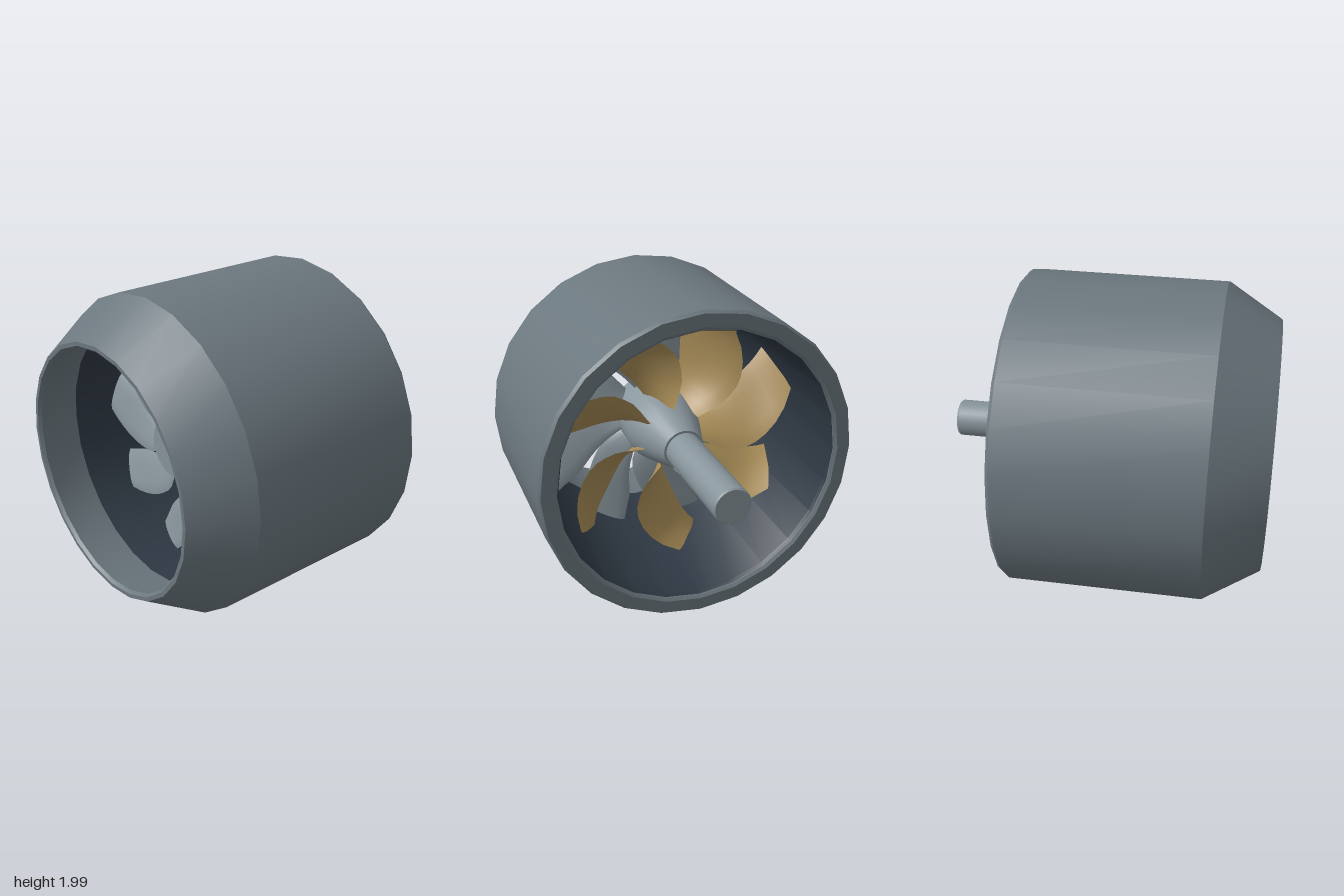
import * as THREE from 'three';
import { toCreasedNormals } from 'three/addons/utils/BufferGeometryUtils.js';

const AXIS_Y = 0.995;
const mat = (color, side = THREE.FrontSide) => new THREE.MeshStandardMaterial({ color, side });
const housingMat = mat(0x6b777e);
const linerMat = mat(0x2f3944, THREE.DoubleSide);
const steelMat = mat(0x87949b);
const bronzeMat = mat(0xa88c57);

// Turned part along the x axis; the profile lists [x, radius]
function turned(name, profile, material, crease = 0.5) {
  const points = profile.map(([x, r]) => new THREE.Vector2(r, x));
  const geo = toCreasedNormals(new THREE.LatheGeometry(points, 24), crease);
  geo.rotateZ(-Math.PI / 2);
  const mesh = new THREE.Mesh(geo, material);
  mesh.name = name;
  return mesh;
}

// Linear lookup of a section row [r, startAngle, endAngle] at radius r
function sectionAt(rows, r) {
  let i = 0;
  while (i < rows.length - 2 && r > rows[i + 1][0]) i++;
  const t = (r - rows[i][0]) / (rows[i + 1][0] - rows[i][0]);
  return [1, 2].map((k) => THREE.MathUtils.lerp(rows[i][k], rows[i + 1][k], t));
}

// Twisted blade lofted from closed lens-shaped sections; angles in degrees around the axis
function bladeGeometry({ rows, xStart, xEnd, thickness }) {
  const across = 8, steps = 10, ring = across * 2;
  const r0 = rows[0][0], r1 = rows[rows.length - 1][0];
  const pos = [], index = [];
  for (let j = 0; j <= steps + 1; j++) {
    const r = THREE.MathUtils.lerp(r0, r1, Math.min(j, steps) / steps);
    const [a0, a1] = sectionAt(rows, r);
    const thick = j > steps ? 0 : thickness;
    for (let i = 0; i < ring; i++) {
      const t = i <= across ? i / across : (ring - i) / across;
      const face = i <= across ? 1 : -1;
      const a = THREE.MathUtils.degToRad(THREE.MathUtils.lerp(a0, a1, t));
      const x = THREE.MathUtils.lerp(xStart, xEnd, t) + face * thick * Math.sqrt(t * (1 - t));
      pos.push(x, r * Math.sin(a), -r * Math.cos(a));
    }
  }
  for (let j = 0; j <= steps; j++) {
    for (let i = 0; i < ring; i++) {
      const a = j * ring + i, b = j * ring + ((i + 1) % ring);
      const c = a + ring, d = b + ring;
      index.push(a, c, b, b, c, d);
    }
  }
  const geo = new THREE.BufferGeometry();
  geo.setAttribute('position', new THREE.Float32BufferAttribute(pos, 3));
  geo.setIndex(index);
  return toCreasedNormals(geo, 0.8);
}

// Ring of equal blades around the axis
function bladeRing(name, bladeName, count, startAngle, geo, material) {
  const group = new THREE.Group();
  group.name = name;
  for (let i = 0; i < count; i++) {
    const blade = new THREE.Mesh(geo, material);
    blade.name = bladeName;
    blade.rotation.x = startAngle + (i / count) * Math.PI * 2;
    group.add(blade);
  }
  return group;
}

export function createModel() {
  const model = new THREE.Group();
  const unit = new THREE.Group();
  unit.name = 'ductedPropeller';
  unit.position.y = AXIS_Y;
  model.add(unit);

  // Duct shell: tapered outlet, straight body, rounded inlet lip, hollow inside
  unit.add(turned('ductHousing', [
    [-0.7, 0.8], [-0.98, 0.745], [-1, 0.76], [-1, 0.785], [-0.66, 0.995],
    [0.54, 0.995], [0.56, 0.98], [0.56, 0.9], [0.545, 0.88], [0.5, 0.875],
    [-0.68, 0.86], [-0.7, 0.8],
  ], housingMat));

  // Dark inner sleeve
  unit.add(turned('ductLiner', [
    [-0.7, 0.8], [-0.45, 0.82], [-0.25, 0.835], [0.52, 0.868], [0.54, 0.88],
  ], linerMat));

  // Hub and drive shaft
  unit.add(turned('hub', [
    [-0.52, 0], [-0.52, 0.18], [-0.46, 0.23], [-0.12, 0.24], [0.03, 0.2], [0.25, 0.13], [0.25, 0],
  ], steelMat));
  unit.add(turned('driveShaft', [
    [0.15, 0.115], [0.99, 0.115], [1, 0.108], [1, 0],
  ], steelMat));

  // Seven swept bronze rotor blades
  const rotor = bladeGeometry({
    rows: [[0.2, 38, 65], [0.3, 32, 67], [0.4, 31, 70], [0.52, 35, 74], [0.61, 41, 76],
      [0.71, 51, 78], [0.78, 59, 80], [0.84, 67, 82]],
    xStart: 0.08, xEnd: -0.2, thickness: 0.03,
  });
  unit.add(bladeRing('rotor', 'rotorBlade', 7, 0, rotor, bronzeMat));

  // Nine fixed guide vanes behind the rotor
  const vane = bladeGeometry({
    rows: [[0.2, 52, 80], [0.4, 52, 86], [0.6, 64, 94], [0.81, 77, 95]],
    xStart: -0.42, xEnd: -0.34, thickness: 0.03,
  });
  unit.add(bladeRing('stator', 'guideVane', 9, 0, vane, steelMat));

  return model;
}
